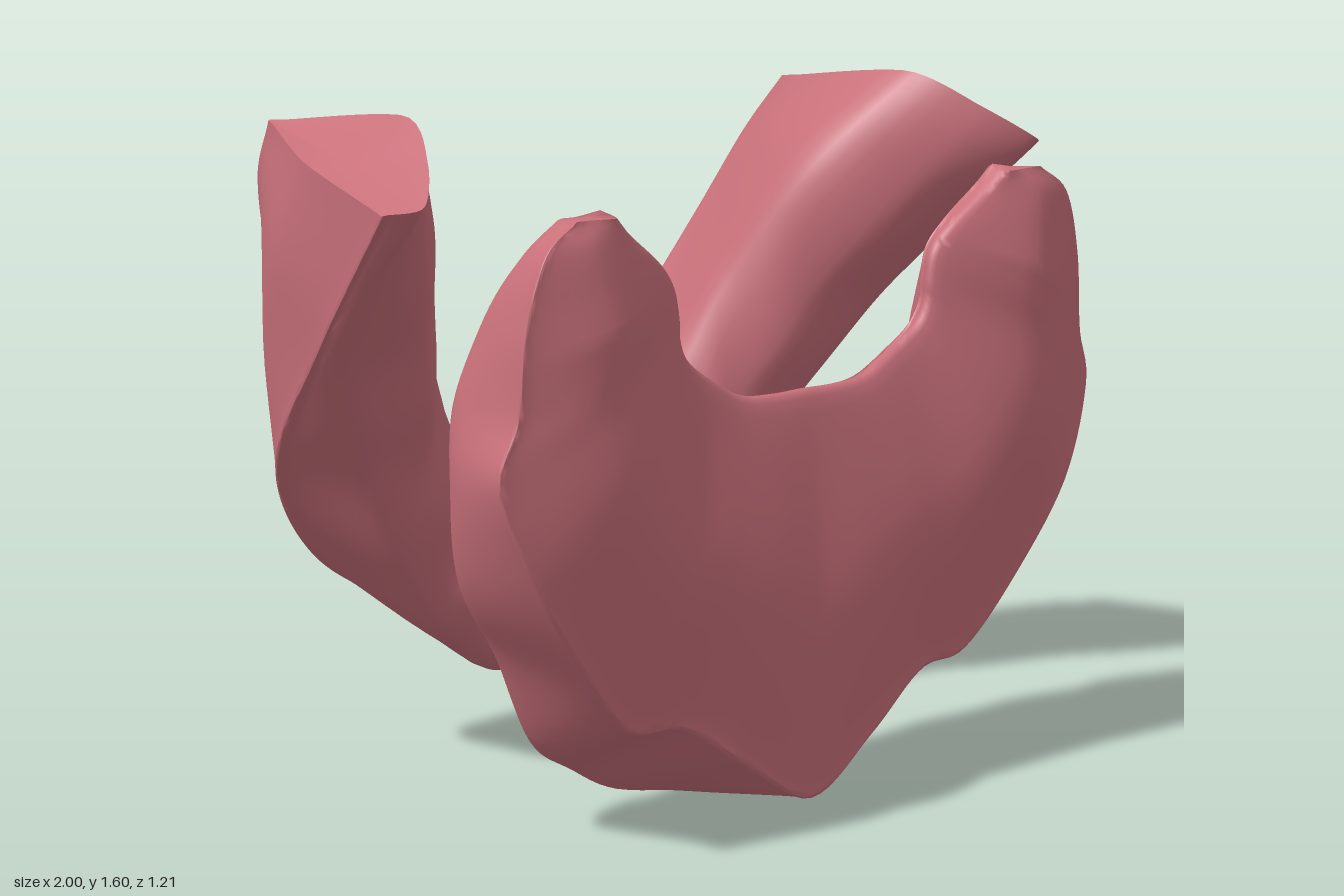
import * as THREE from 'three';
import { toCreasedNormals } from 'three/addons/utils/BufferGeometryUtils.js';

const gum = new THREE.MeshStandardMaterial({ color: 0xc8707a });
gum.name = 'gum pink';

const points = (list) => list.map((p) => new THREE.Vector3(...p));

// Mirrors a rail given from the centre line to the +x tip into a full arch curve
function arch(list) {
  const half = points(list);
  const other = half.slice(1).reverse().map((p) => new THREE.Vector3(-p.x, p.y, p.z));
  return new THREE.CatmullRomCurve3([...other, ...half], false, 'catmullrom', 0.5);
}

// Skins closed rings into a solid with fanned end caps
function skin(rings) {
  const n = rings[0].length, pos = [], idx = [];
  rings.forEach((r) => r.forEach((p) => pos.push(p.x, p.y, p.z)));
  for (let i = 0; i < rings.length - 1; i++)
    for (let j = 0; j < n; j++) {
      const a = i * n + j, b = i * n + (j + 1) % n;
      idx.push(a, b, a + n, b, b + n, a + n);
    }
  [0, rings.length - 1].forEach((i, end) => {
    const c = rings[i].reduce((s, p) => s.add(p), new THREE.Vector3()).divideScalar(n);
    const k = pos.length / 3;
    pos.push(c.x, c.y, c.z);
    for (let j = 0; j < n; j++) {
      const a = i * n + j, b = i * n + (j + 1) % n;
      idx.push(...(end ? [a, b, k] : [b, a, k]));
    }
  });
  // Turn the faces outward if the enclosed volume is negative
  const v = (i) => new THREE.Vector3(pos[3 * i], pos[3 * i + 1], pos[3 * i + 2]);
  let volume = 0;
  for (let i = 0; i < idx.length; i += 3) volume += v(idx[i]).dot(v(idx[i + 1]).cross(v(idx[i + 2])));
  if (volume < 0) idx.reverse();
  const g = new THREE.BufferGeometry();
  g.setAttribute('position', new THREE.Float32BufferAttribute(pos, 3));
  g.setIndex(idx);
  return toCreasedNormals(g, 1);
}

// Sections across the rails; corners listed in sharp are kept tight
function loft(rails, sharp, adjust, steps = 144, sides = 64) {
  const rings = [];
  for (let i = 0; i <= steps; i++) {
    const t = i / steps;
    const c = adjust(rails.map((r) => r.getPoint(t)), t);
    const loop = [];
    c.forEach((p, j) => {
      if (!sharp.includes(j)) return loop.push(p);
      const prev = c[(j + c.length - 1) % c.length], next = c[(j + 1) % c.length];
      loop.push(p.clone().lerp(prev, 0.12), p, p.clone().lerp(next, 0.12));
    });
    const curve = new THREE.CatmullRomCurve3(loop, true, 'catmullrom', 0.4);
    rings.push(Array.from({ length: sides }, (_, k) => curve.getPoint(k / sides)));
  }
  return skin(rings);
}

// Scalloped tooth sockets, fading toward the arch tips
const scallop = (t, count) => Math.cos((t - 0.5) * Math.PI * 2 * count) * Math.max(0, 1 - Math.pow(Math.abs(2 * t - 1), 4));

function upperGum() {
  const edge = arch([[0, .055, .535], [.2, .165, .53], [.38, .28, .515], [.53, .3, .51], [.67, .44, .53], [.83, .66, .55],
    [.92, .88, .535], [.88, 1.02, .545], [.86, 1.2, .55], [.81, 1.35, .555], [.72, 1.415, .55]]);
  const outer = arch([[0, .008, .19], [.2, .035, .2], [.4, .115, .21], [.56, .22, .23], [.69, .45, .25], [.81, .64, .27],
    [.86, .85, .31], [.85, 1.02, .31], [.82, 1.2, .37], [.78, 1.34, .45], [.72, 1.41, .49]]);
  const crest = arch([[0, .06, .14], [.2, .1, .16], [.37, .2, .165], [.48, .34, .165], [.57, .5, .16], [.63, .68, .19],
    [.69, .85, .205], [.7, 1.02, .245], [.69, 1.2, .3], [.69, 1.33, .38], [.68, 1.41, .46]]);
  const foot = arch([[0, .33, .36], [.14, .35, .36], [.27, .43, .37], [.36, .56, .38], [.41, .75, .38], [.44, .9, .38],
    [.47, 1.02, .37], [.5, 1.1, .37], [.53, 1.22, .38], [.6, 1.33, .42], [.64, 1.41, .46]]);
  const rimPts = [[0, .96, .46], [.1, .962, .46], [.2, .975, .46], [.3, 1.025, .46], [.37, 1.075, .465], [.4, 1.13, .47],
    [.405, 1.18, .47], [.42, 1.25, .47], [.47, 1.31, .48], [.56, 1.38, .49], [.61, 1.425, .5]];
  const rim = arch(rimPts), rimFront = arch(rimPts.map(([x, y, z]) => [x, y - 0.012, z + 0.05]));
  return loft([edge, outer, crest, foot, rim, rimFront], [0, 4], (c, t) => {
    const s = scallop(t, 13);
    c[2].z -= 0.009 * s;
    c[1].y -= 0.005 * s;
    // Front face swells over each leg and flattens at the tips
    const bulge = c[0].clone().lerp(c[5], 0.5);
    const fade = Math.min(1, (1 - Math.abs(2 * t - 1)) / 0.25);
    bulge.z += (0.045 + 0.025 * Math.min(1, Math.abs(bulge.x) / 0.6)) * fade;
    return [...c, bulge];
  });
}

function lowerGum() {
  const backTop = arch([[0, .57, -.6], [.28, .73, -.6], [.52, 1, -.575], [.67, 1.22, -.53], [.76, 1.42, -.455], [.8, 1.56, -.36]]);
  const flank = arch([[0, .43, -.603], [.28, .55, -.603], [.55, .76, -.585], [.74, .99, -.47], [.87, 1.25, -.27], [.93, 1.5, -.07]]);
  const backLow = arch([[0, .275, -.6], [.28, .36, -.595], [.55, .52, -.56], [.77, .78, -.4], [.91, 1.1, -.06], [1, 1.425, .27]]);
  const under = arch([[0, .19, -.34], [.26, .25, -.32], [.47, .44, -.27], [.69, .79, -.18], [.87, 1.12, .01], [.95, 1.445, .345]]);
  const crest = arch([[0, .24, -.23], [.22, .36, -.225], [.38, .55, -.215], [.51, .83, -.16], [.67, 1.16, .01], [.86, 1.52, .25]]);
  const innerTop = arch([[0, .5, -.33], [.2, .65, -.34], [.36, .86, -.3], [.48, 1.1, -.24], [.6, 1.38, -.08], [.78, 1.6, .08]]);
  return loft([backTop, flank, backLow, under, crest, innerTop], [0, 2], (c, t) => {
    const s = scallop(t, 12);
    c[4].z += 0.011 * s;
    c[3].y -= 0.005 * s;
    return c;
  });
}

export function createModel() {
  const model = new THREE.Group();
  model.name = 'gums';
  for (const [name, geometry] of [['upperGum', upperGum()], ['lowerGum', lowerGum()]]) {
    const mesh = new THREE.Mesh(geometry, gum);
    mesh.name = name;
    model.add(mesh);
  }
  return model;
}
